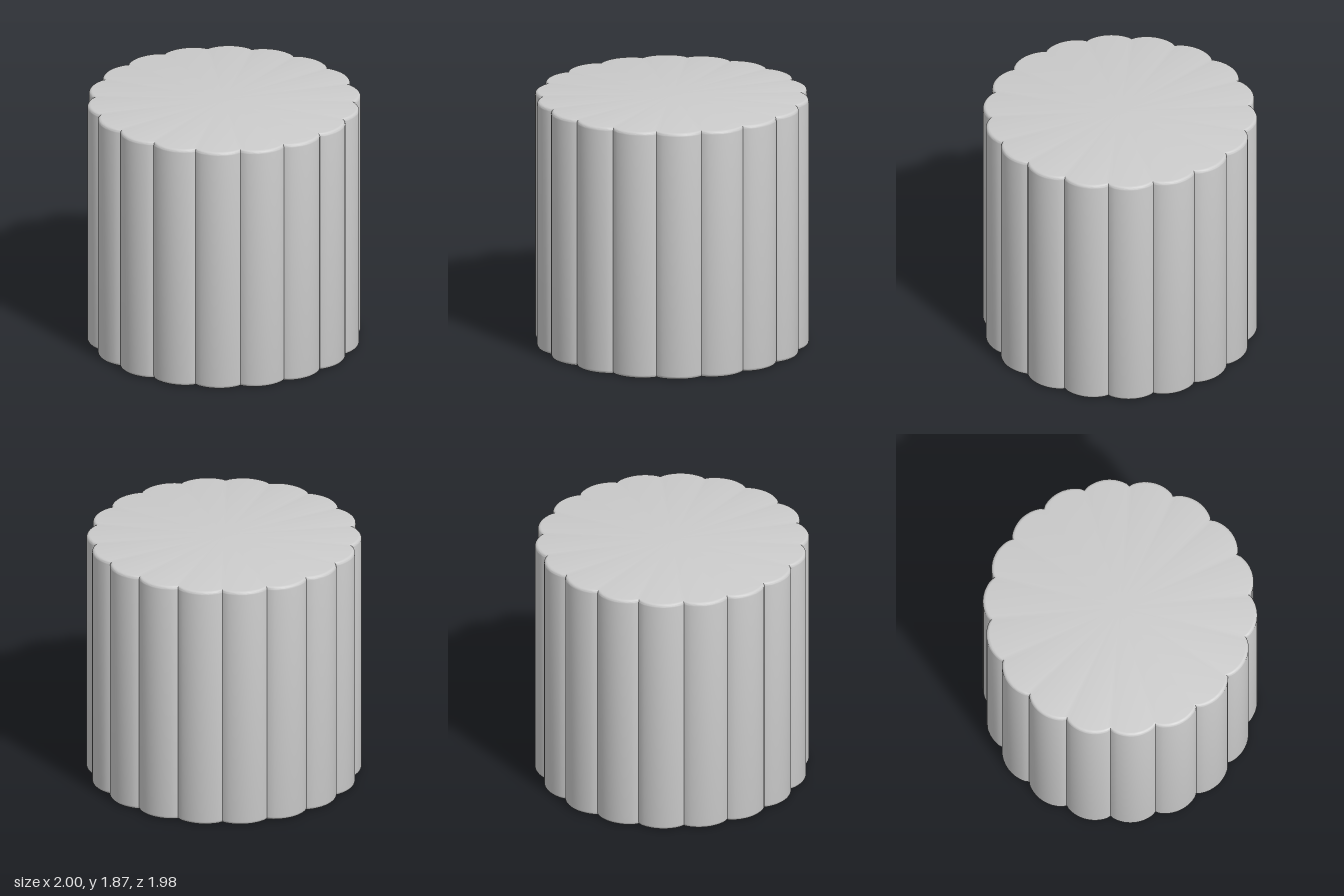
import * as THREE from 'three';
import { toCreasedNormals } from 'three/addons/utils/BufferGeometryUtils.js';

const LOBES = 18;      // scallops around the drum
const STEPS = 14;      // segments per scallop
const HEIGHT = 1.87;
const DEPTH = 0.053;   // groove depth
const BEVEL = 0.025;   // rounded rim radius

// Half outline of the drum: flat caps joined by rounded rims
function drumProfile() {
  const points = [new THREE.Vector2(0, 0)];
  for (const [centerY, start] of [[BEVEL, -Math.PI / 2], [HEIGHT - BEVEL, 0]]) {
    for (let i = 0; i <= 5; i++) {
      const a = start + (i / 5) * (Math.PI / 2);
      points.push(new THREE.Vector2(1 - BEVEL + BEVEL * Math.cos(a), centerY + BEVEL * Math.sin(a)));
    }
  }
  points.push(new THREE.Vector2(0, HEIGHT));
  return points;
}

// Pull the round wall inward between the lobes
function scallop(geometry) {
  const pos = geometry.attributes.position;
  for (let i = 0; i < pos.count; i++) {
    const x = pos.getX(i), z = pos.getZ(i);
    const wave = Math.abs(Math.sin(Math.atan2(x, z) * LOBES / 2));
    const scale = 1 - DEPTH * (1 - Math.pow(wave, 0.7));
    pos.setX(i, x * scale);
    pos.setZ(i, z * scale);
  }
  return geometry;
}

export function createModel() {
  const group = new THREE.Group();
  group.name = 'scallopedDrum';

  // Solid fluted body with soft rims
  const lathe = scallop(new THREE.LatheGeometry(drumProfile(), LOBES * STEPS));
  const body = new THREE.Mesh(
    toCreasedNormals(lathe, 0.6),
    new THREE.MeshStandardMaterial({ color: 0xcccccc })
  );
  body.name = 'flutedBody';
  group.add(body);

  return group;
}
